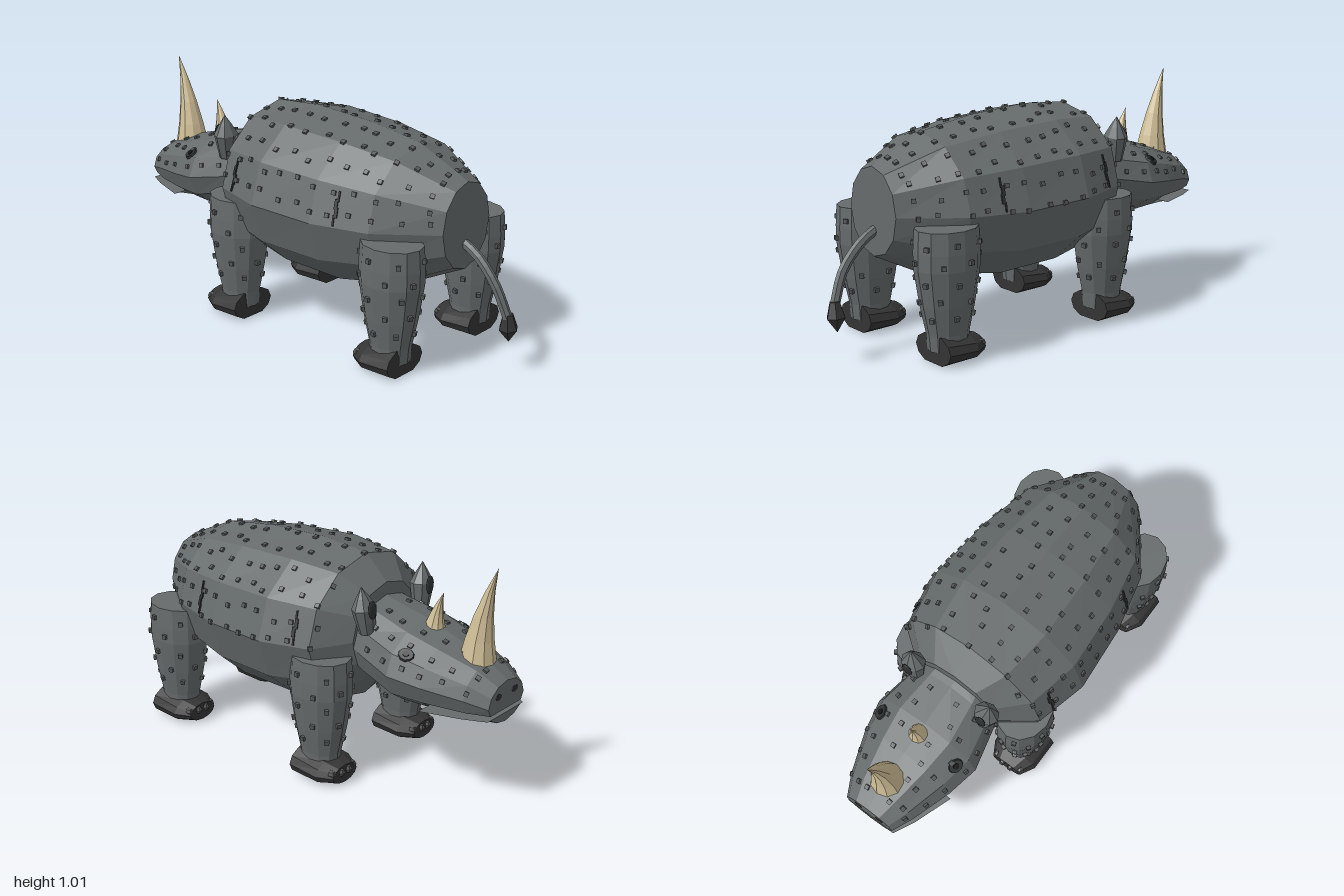
import * as THREE from 'three';
import { mergeGeometries } from 'three/addons/utils/BufferGeometryUtils.js';

const SIDES = 12;
const mat = (name, color) => new THREE.MeshStandardMaterial({ name, color, flatShading: true });

// Rings run from +z to -z: [z, half width, top y, bottom y]
const BODY = [
  [0.75, 0.155, 0.77, 0.40], [0.51, 0.325, 0.88, 0.28], [0.25, 0.385, 0.92, 0.23],
  [-0.05, 0.41, 0.937, 0.24], [-0.28, 0.355, 0.92, 0.28], [-0.39, 0.21, 0.82, 0.41],
];
const SKULL = [[-0.34, 0.19, 0.78, 0.43], [-0.42, 0.215, 0.755, 0.41], [-0.6, 0.255, 0.72, 0.375], [-0.74, 0.225, 0.68, 0.38]];
const MUZZLE = [[-0.74, 0.225, 0.68, 0.38], [-0.91, 0.165, 0.625, 0.387], [-1, 0.12, 0.57, 0.392]];
const HEAD = [...SKULL, ...MUZZLE.slice(1)];
// Leg profile, bottom to top: [radius, y]
const LEG = [[0.072, 0.05], [0.077, 0.12], [0.098, 0.24], [0.117, 0.39], [0.117, 0.46], [0.112, 0.55]];
const LEG_DEPTH = 1.22;

function ringPoint([z, rx, top, bottom], j, min = -9, max = 9) {
  const a = (j / SIDES) * Math.PI * 2;
  const y = (top + bottom) / 2 + (top - bottom) / 2 * Math.cos(a);
  return new THREE.Vector3(rx * Math.sin(a), Math.min(max, Math.max(min, y)), z);
}

// Closed faceted loft; min and max cut it flat below or above
function loft(rings, min, max) {
  const pos = [];
  const tri = (...pts) => pts.forEach((p) => pos.push(p.x, p.y, p.z));
  const loops = rings.map((r) => Array.from({ length: SIDES + 1 }, (_, j) => ringPoint(r, j, min, max)));
  const mid = (l) => l.slice(0, SIDES).reduce((s, p) => s.add(p), new THREE.Vector3()).divideScalar(SIDES);
  const first = loops[0], last = loops[loops.length - 1];
  for (let j = 0; j < SIDES; j++) {
    tri(mid(first), first[j + 1], first[j]);
    tri(mid(last), last[j], last[j + 1]);
    for (let i = 0; i < loops.length - 1; i++) {
      const p = loops[i], q = loops[i + 1];
      tri(p[j], p[j + 1], q[j]);
      tri(p[j + 1], q[j + 1], q[j]);
    }
  }
  const g = new THREE.BufferGeometry();
  g.setAttribute('position', new THREE.Float32BufferAttribute(pos, 3));
  g.computeVertexNormals();
  return g;
}

// Point on a faceted loft: u = -z, a = turns clockwise from the top
const loftSurface = (rings) => (u, a) => {
  let i = 0;
  while (i < rings.length - 2 && -rings[i + 1][0] < u) i++;
  const t = (u + rings[i][0]) / (rings[i][0] - rings[i + 1][0]);
  const r = rings[i].map((v, k) => v + (rings[i + 1][k] - v) * t);
  const j = Math.floor(a * SIDES);
  return ringPoint(r, j).lerp(ringPoint(r, j + 1), a * SIDES - j);
};

const legSurface = (y, a) => {
  let i = 0;
  while (i < LEG.length - 2 && LEG[i + 1][1] < y) i++;
  const t = (y - LEG[i][1]) / (LEG[i + 1][1] - LEG[i][1]);
  const r = LEG[i][0] + (LEG[i + 1][0] - LEG[i][0]) * t;
  const ang = a * Math.PI * 2;
  return new THREE.Vector3(r * Math.sin(ang), y, r * Math.cos(ang) * LEG_DEPTH);
};

// Matrix that sets an object's y axis along the surface normal, z along the loft
function onSurface(surf, u, a) {
  const p = surf(u, a), e = 0.004;
  const du = surf(u + e, a).sub(surf(u - e, a)).normalize();
  const n = surf(u, a + e).sub(surf(u, a - e)).cross(du).normalize();
  return new THREE.Matrix4().makeBasis(n.clone().cross(du), n, du).setPosition(p);
}

function bumps(surf, spots) {
  return mergeGeometries(spots.map(([u, a]) =>
    new THREE.BoxGeometry(0.019, 0.018, 0.019).applyMatrix4(onSurface(surf, u, a))));
}

export function createModel() {
  const root = new THREE.Group();
  const hide = mat('grey hide', 0x666b6b);
  const wart = mat('dark hide bumps', 0x545958);
  const hoof = mat('charcoal hoof', 0x343434);
  const nail = mat('toenail grey', 0x4b4c4c);
  const horn = mat('horn tan', 0xd0bf97);
  const crease = mat('crease dark', 0x2e3131);
  const black = mat('pupil black', 0x141414);
  const add = (name, geo, material, parent = root) => {
    const m = new THREE.Mesh(geo, material);
    m.name = name;
    parent.add(m);
    return m;
  };
  let seed = 7;
  const jitter = (s) => {
    seed = (seed * 16807) % 2147483647;
    return (seed / 2147483647 - 0.5) * s;
  };
  const body = loftSurface(BODY), head = loftSurface(HEAD);
  const wrap = (a) => (a + 1) % 1;

  // Body and head with a split mouth
  add('body', loft(BODY), hide);
  add('skull', loft(SKULL), hide);
  add('upperMuzzle', loft(MUZZLE, 0.448), hide);
  add('lowerJaw', loft(MUZZLE, -9, 0.43), hide);

  // Hide bumps over the back, flanks and face
  const bodySpots = [], headSpots = [];
  for (let i = 0; i < 12; i++) {
    for (let k = -5; k <= 5; k++) {
      bodySpots.push([-0.69 + i * 0.088 + jitter(0.03), wrap(k * 0.047 + 0.012 + jitter(0.018))]);
    }
  }
  for (let i = 0; i < 6; i++) {
    for (const k of [-0.2, -0.12, -0.05, 0.05, 0.12, 0.2]) {
      headSpots.push([0.46 + i * 0.092 + jitter(0.03), wrap(k + jitter(0.03))]);
    }
  }
  add('bodyBumps', bumps(body, bodySpots), wart);
  add('headBumps', bumps(head, headSpots), wart);

  // Horns, leaning forward more with height
  const makeHorn = (name, r, h, y, z, lean) => {
    const g = new THREE.CylinderGeometry(0, r, h, 10, 4).translate(0, h / 2, 0);
    const p = g.attributes.position;
    for (let i = 0; i < p.count; i++) {
      const t = p.getY(i) / h;
      p.setZ(i, p.getZ(i) - lean * t * t);
    }
    g.computeVertexNormals();
    add(name, g, horn).position.set(0, y, z);
  };
  makeHorn('frontHorn', 0.077, 0.415, 0.60, -0.855, 0.075);
  makeHorn('rearHorn', 0.05, 0.185, 0.665, -0.64, 0.04);

  const earShape = [[0, 0], [0.036, 0], [0.046, 0.05], [0.056, 0.11], [0.03, 0.155], [0, 0.2]]
    .map((p) => new THREE.Vector2(...p));
  for (const s of [1, -1]) {
    const side = s > 0 ? 'left' : 'right';
    const at = (a) => wrap(s * a);

    // Ears with dark hollows
    const ear = new THREE.Group();
    ear.name = side + 'Ear';
    ear.position.set(s * 0.175, 0.665, -0.435);
    ear.rotation.set(0.08, 0, -s * 0.12);
    root.add(ear);
    add('earShell', new THREE.LatheGeometry(earShape, 8), hide, ear).scale.z = 0.85;
    const hollow = add('earHollow', new THREE.SphereGeometry(1, 8, 6), crease, ear);
    hollow.scale.set(0.026, 0.04, 0.008);
    hollow.position.set(0, 0.105, -0.043);

    // Eyes
    const eye = new THREE.Group();
    eye.name = side + 'Eye';
    eye.applyMatrix4(onSurface(head, 0.65, at(0.15)));
    root.add(eye);
    add('eyelid', new THREE.CylinderGeometry(0.026, 0.031, 0.016, 10), crease, eye).scale.z = 1.2;
    add('pupil', new THREE.CylinderGeometry(0.013, 0.016, 0.022, 8), black, eye);

    // Nostrils
    const nostril = add(side + 'Nostril', new THREE.CylinderGeometry(0.014, 0.014, 0.006, 8), crease);
    nostril.rotation.x = Math.PI / 2;
    nostril.scale.x = 1.4;
    nostril.position.set(s * 0.055, 0.515, -0.999);

    // Skin folds on the flanks
    for (const u of [-0.36, 0.2]) {
      for (let k = 0; k < 4; k++) {
        const fold = add(side + 'Fold', new THREE.BoxGeometry(0.042, 0.012, k % 3 ? 0.014 : 0.007), crease);
        fold.applyMatrix4(onSurface(body, u + (k % 2) * 0.006, at(0.187 + k * 0.0165)));
      }
    }

    // Legs, feet and toenails
    for (const [place, z] of [['Front', -0.27], ['Rear', 0.59]]) {
      const leg = new THREE.Group();
      leg.name = side + place + 'Leg';
      leg.position.set(s * 0.27, 0, z);
      root.add(leg);
      const profile = [[0, 0.05], ...LEG, [0, 0.55]].map((p) => new THREE.Vector2(...p));
      add('limb', new THREE.LatheGeometry(profile, SIDES), hide, leg).scale.z = LEG_DEPTH;
      add('foot', loft([[0.075, 0.113, 0.125, -0.01], [-0.07, 0.112, 0.105, -0.01], [-0.135, 0.075, 0.085, 0.005]], 0), hoof, leg);
      for (const k of [-1.5, -0.5, 0.5, 1.5]) {
        const toe = add('toenail', new THREE.SphereGeometry(1, 6, 4), nail, leg);
        toe.scale.set(0.017, 0.02, 0.026);
        toe.position.set(k * 0.043, 0.058, -0.135 + Math.abs(k) * 0.014);
      }
      const spots = [];
      for (let i = 0; i < 5; i++) {
        for (let k = 0; k < 6; k++) spots.push([0.19 + i * 0.075 + jitter(0.02), (k + 0.5 * (i % 2) + 0.3) / 6 + jitter(0.03)]);
      }
      add('legBumps', bumps(legSurface, spots), wart, leg);
    }
  }

  // Tail with a dark tuft
  const path = new THREE.CatmullRomCurve3([[0, 0.51, 0.74], [0, 0.47, 0.81], [0, 0.37, 0.9], [0.015, 0.24, 0.955]]
    .map((p) => new THREE.Vector3(...p)));
  add('tail', new THREE.TubeGeometry(path, 8, 0.021, 7), hide);
  const tuftShape = [[0, 0], [0.041, 0.06], [0.022, 0.125], [0, 0.13]].map((p) => new THREE.Vector2(...p));
  const tuft = add('tailTuft', new THREE.LatheGeometry(tuftShape, 6), hoof);
  tuft.position.set(0.03, 0.132, 0.955);
  tuft.rotation.z = 0.1;
  return root;
}
